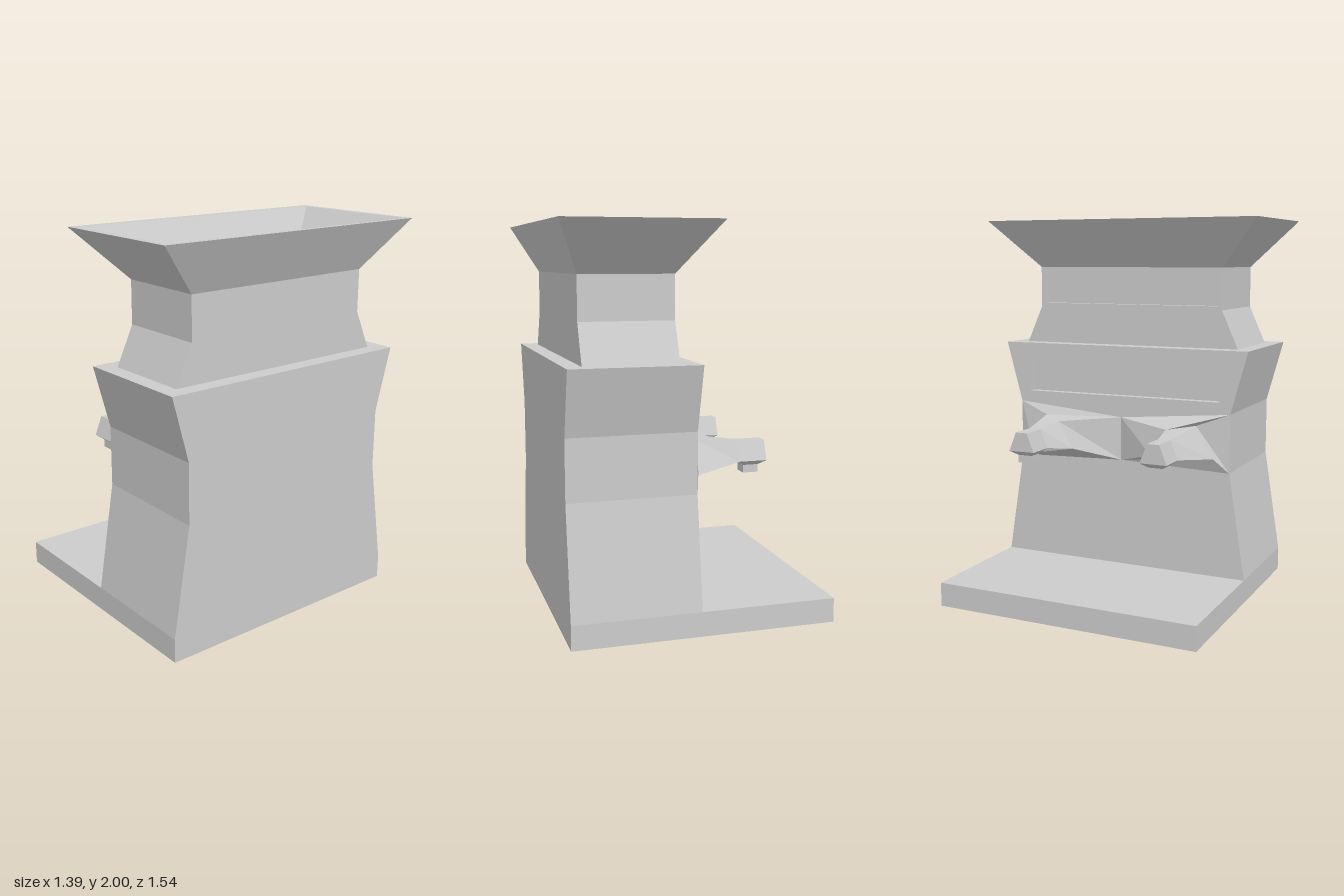
import * as THREE from 'three';

const material = new THREE.MeshStandardMaterial({ color: 0xcccccc, flatShading: true, side: THREE.DoubleSide });

// Horizontal rectangular ring, counter-clockwise from above.
// Sides in order: 0 = +x, 1 = -z, 2 = -x, 3 = +z.
const rect = (x0, x1, z, y, zc = 0) => [[x1, y, zc + z], [x1, y, zc - z], [x0, y, zc - z], [x0, y, zc + z]];

// Flat-faced skin through four-cornered rings, with optional caps and one open side.
function loft(name, rings, { start = false, end = false, skip = -1 } = {}) {
  const pos = [];
  const quad = (a, b, c, d) => pos.push(...a, ...b, ...c, ...a, ...c, ...d);
  for (let r = 0; r + 1 < rings.length; r++) {
    for (let i = 0; i < 4; i++) {
      if (i === skip) continue;
      const j = (i + 1) % 4;
      quad(rings[r][i], rings[r][j], rings[r + 1][j], rings[r + 1][i]);
    }
  }
  if (start) quad(...[...rings[0]].reverse());
  if (end) quad(...rings[rings.length - 1]);
  const geometry = new THREE.BufferGeometry();
  geometry.setAttribute('position', new THREE.Float32BufferAttribute(pos, 3));
  geometry.computeVertexNormals();
  const mesh = new THREE.Mesh(geometry, material);
  mesh.name = name;
  return mesh;
}

// Wall facing -x with a symmetric [halfWidth, height] outline and a recessed panel.
function panelWall(name, x, profile, z, y0, y1, depth) {
  const group = new THREE.Group();
  group.name = name;
  const outline = [...profile, ...[...profile].reverse().map(([w, y]) => [-w, y])];
  const shape = new THREE.Shape(outline.map(([w, y]) => new THREE.Vector2(w, y)));
  const hole = [[-z, y0], [-z, y1], [z, y1], [z, y0]];
  shape.holes.push(new THREE.Path(hole.map(([w, y]) => new THREE.Vector2(w, y))));
  const geometry = new THREE.ShapeGeometry(shape);
  geometry.rotateY(-Math.PI / 2);
  geometry.translate(x, 0, 0);
  const wall = new THREE.Mesh(geometry, material);
  wall.name = name + 'Face';
  // counter-clockwise as seen from -x, so the pocket faces outward
  const ring = (px) => [[px, y0, -z], [px, y0, z], [px, y1, z], [px, y1, -z]];
  group.add(wall, loft(name + 'Recess', [ring(x), ring(x + depth)], { end: true }));
  return group;
}

// Tap on one side (s = 1 or -1): flared arm and small spout.
function makeTap(s) {
  const group = new THREE.Group();
  group.name = s > 0 ? 'frontTap' : 'backTap';
  const straight = (x) => [[x, 0.9, 0.405], [x, 0.8, 0.445], [x, 0.8, 0.3], [x, 0.9, 0.34]];
  // corners: outer top, outer bottom, inner bottom, inner top
  const sections = [
    straight(-0.43),
    straight(-0.285),
    [[-0.03, 0.935, 0.445], [-0.03, 0.765, 0.54], [-0.13, 0.775, 0.23], [-0.13, 0.92, 0.315]],
    [[0, 1, 0.62], [0, 0.69, 0.62], [0, 0.71, 0], [0, 0.945, 0]],
  ].map((ring) => {
    const side = ring.map(([x, y, z]) => [x, y, z * s]);
    return s > 0 ? side : side.reverse();
  });
  const zc = 0.3725 * s;
  group.add(
    loft('tapArm', sections, { start: true }),
    loft('tapSpout', [
      rect(-0.395, -0.315, 0.04, 0.735, zc),
      rect(-0.395, -0.315, 0.04, 0.775, zc),
      rect(-0.43, -0.285, 0.0725, 0.8, zc),
    ], { start: true }),
  );
  return group;
}

export function createModel() {
  const model = new THREE.Group();
  model.name = 'dispenser';

  // Waisted body, open underneath
  const body = [[0.71, 0.125], [0.62, 0.69], [0.62, 1], [0.71, 1.33]];
  model.add(loft('body', [[0.71, 0], ...body].map(([z, y]) => rect(0, 0.65, z, y)), { end: true, skip: 2 }));
  model.add(panelWall('bodyPanel', 0, body, 0.56, 1.06, 1.235, 0.045));

  // Hollow drip tray
  model.add(loft('tray', [rect(-0.7, 0, 0.71, 0), rect(-0.7, 0, 0.71, 0.125)], { end: true, skip: 0 }));

  // Neck with its own panel
  const neck = [[0.625, 1.33], [0.535, 1.53], [0.535, 1.75]];
  model.add(loft('neck', neck.map(([z, y]) => rect(0.09, 0.565, z, y)), { skip: 2 }));
  model.add(panelWall('neckPanel', 0.09, neck, 0.515, 1.55, 1.735, 0.045));

  // Hopper: outside, rim, sloping inside and floor
  model.add(loft('hopper', [
    rect(0.09, 0.565, 0.535, 1.75),
    rect(-0.085, 0.69, 0.77, 2),
    rect(-0.035, 0.665, 0.735, 2),
    rect(0.115, 0.315, 0.51, 1.75),
  ], { end: true }));

  for (const s of [1, -1]) model.add(makeTap(s));
  return model;
}
